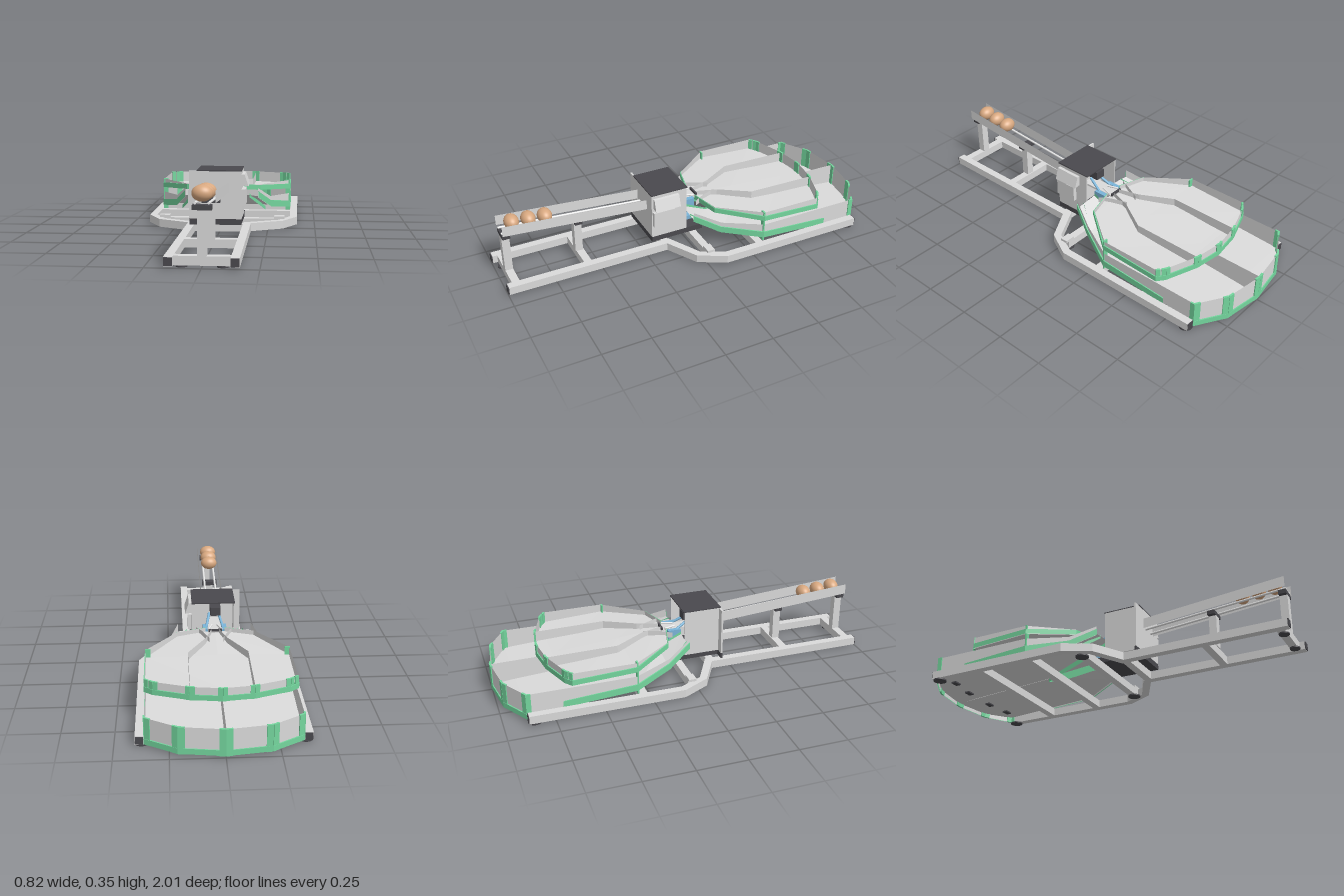
import * as THREE from 'three';

const mat = (name, color, side = THREE.FrontSide) => {
  const m = new THREE.MeshStandardMaterial({ color, side });
  m.name = name;
  return m;
};

export function createModel() {
  const root = new THREE.Group();
  root.name = 'eggSorter';
  const grey = mat('steelGrey', 0xdadada, THREE.DoubleSide);
  const green = mat('trimGreen', 0x74d69e, THREE.DoubleSide);
  const dark = mat('darkPlastic', 0x4a494e);
  const egg = mat('eggshell', 0xd8a880);
  const blue = mat('actuatorBlue', 0x7ab4d8);
  const white = mat('railWhite', 0xe8e8e8);

  const add = (name, geo, m) => {
    const mesh = new THREE.Mesh(geo, m);
    mesh.name = name;
    root.add(mesh);
    return mesh;
  };
  // Box given by its extents on each axis
  const box = (name, m, x0, x1, y0, y1, z0, z1) => {
    const mesh = add(name, new THREE.BoxGeometry(x1 - x0, y1 - y0, z1 - z0), m);
    mesh.position.set((x0 + x1) / 2, (y0 + y1) / 2, (z0 + z1) / 2);
    return mesh;
  };
  // Flat-shaded sheet between two lines of points
  const sheet = (name, m, a, b) => {
    const pos = [];
    for (let i = 0; i < a.length - 1; i++) {
      pos.push(...a[i], ...b[i], ...a[i + 1], ...a[i + 1], ...b[i], ...b[i + 1]);
    }
    const g = new THREE.BufferGeometry();
    g.setAttribute('position', new THREE.Float32BufferAttribute(pos, 3));
    g.computeVertexNormals();
    return add(name, g, m);
  };
  // Upright wall through points [x, z, bottom, top]
  const wall = (name, m, pts, s = 1) => sheet(name, m,
    pts.map(([x, z, b]) => [x * s, b, z]), pts.map(([x, z, , t]) => [x * s, t, z]));
  // Green band outside the foot of a wall, capped by a narrow lip
  const trim = (name, pts, s, height) => {
    const shift = ([x, z, b]) => [x * 1.016, z + (z < -0.6 ? -0.005 : 0.004), b, b + height];
    const outer = pts.map(shift);
    wall(name, green, outer, s);
    sheet(name + 'Lip', green, outer.map(([x, z, , t]) => [x * s, t, z]), pts.map(([x, z, b]) => [x * s, b + height, z]));
  };
  // Pair of flat posts near both ends of each wall segment
  const posts = (name, pts, s, y0, y1, width) => {
    for (let i = 0; i < pts.length - 1; i++) {
      const [x0, z0] = pts[i], [x1, z1] = pts[i + 1];
      const edge = width / 2 / Math.hypot(x1 - x0, z1 - z0);
      for (const t of [edge, 1 - edge]) {
        const post = box(name, green, -width / 2, width / 2, y0, y1, -0.005, 0.005);
        post.position.x = s * (x0 + (x1 - x0) * t);
        post.position.z = z0 + (z1 - z0) * t;
        post.rotation.y = -s * Math.atan2(z1 - z0, x1 - x0);
      }
    }
  };
  // Sloped tray floor, half at a time, from rows [z, inner x, outer x, inner y, outer y]
  const floor = (name, rows, s) => {
    // the mirrored half swaps its edges so that both halves face up
    const inner = rows.map(([z, i, , y]) => [i * s, y, z]);
    const outer = rows.map(([z, , o, , y]) => [o * s, y, z]);
    return s > 0 ? sheet(name, grey, outer, inner) : sheet(name, grey, inner, outer);
  };
  const rod = (name, m, p, q, r) => {
    const a = new THREE.Vector3(...p), b = new THREE.Vector3(...q);
    const mesh = add(name, new THREE.CylinderGeometry(r, r, a.distanceTo(b), 12), m);
    mesh.position.copy(a).add(b).multiplyScalar(0.5);
    mesh.quaternion.setFromUnitVectors(new THREE.Vector3(0, 1, 0), b.sub(a).normalize());
  };

  // Base frame: wide rear rails bending in to the narrow front rails
  for (const s of [-1, 1]) {
    const plan = [[0.405, -0.88], [0.405, -0.09], [0.33, 0.05], [0.165, 0.14], [0.165, 0.995],
      [0.125, 0.995], [0.125, 0.115], [0.305, 0.02], [0.365, -0.1], [0.365, -0.88]];
    const shape = new THREE.Shape(plan.map(([x, z]) => new THREE.Vector2(x * s, -z)));
    const rail = add('sideRail', new THREE.ExtrudeGeometry(shape, { depth: 0.042, bevelEnabled: false }), grey);
    rail.rotation.x = -Math.PI / 2;
    rail.position.y = 0.007;
    for (const [x, z, r] of [[0.375, -0.85, 0.034], [0.3, -0.025, 0.034], [0.09, 0.955, 0.026]]) {
      const foot = add('foot', new THREE.CylinderGeometry(r, r, 0.007, 20), dark);
      foot.position.set(x * s, 0.0035, z);
    }
    box('railEndCap', dark, s * 0.145 - 0.019, s * 0.145 + 0.019, 0.01, 0.047, 0.995, 1);
    box('railEndCap', dark, s * 0.385 - 0.018, s * 0.385 + 0.018, 0.01, 0.047, -0.884, -0.88);
    box('traySpacer', grey, s * 0.31 - 0.028, s * 0.31 + 0.028, 0.049, 0.062, -0.05, -0.01);
  }
  for (const z of [-0.6, -0.3, -0.03]) {
    const half = z < -0.1 ? 0.366 : 0.32;
    box('rearCrossbar', grey, -half, half, 0.007, 0.049, z - 0.02, z + 0.02);
  }
  for (const z of [0.14, 0.57, 0.95]) box('frontCrossbar', grey, -0.126, 0.126, 0.007, 0.049, z - 0.02, z + 0.02);

  // Sloping infeed track on two posts
  for (const [z, top] of [[0.95, 0.248], [0.575, 0.222]]) {
    box('trackPost', grey, -0.02, 0.02, 0.049, top, z - 0.02, z + 0.02);
    box('trackClamp', dark, -0.043, 0.043, top, top + 0.022, z - 0.02, z + 0.02);
  }
  for (const s of [-1, 1]) {
    wall('trackSide', grey, [[0.058, 0.97, 0.278, 0.333], [0.058, 0.15, 0.215, 0.27]], s);
    rod('trackRod', white, [0.03 * s, 0.279, 0.97], [0.03 * s, 0.215, 0.1], 0.006);
  }
  [0.905, 0.82, 0.735].forEach((z) => {
    const e = add('egg', new THREE.SphereGeometry(1, 32, 20), egg);
    e.scale.set(0.047, 0.037, 0.037);
    e.position.set(-0.005, 0.313 - (0.905 - z) * 0.078, z);
  });

  // Control housing, open towards the trays
  box('housingFront', grey, -0.15, 0.12, 0.08, 0.328, 0.195, 0.205);
  box('housingFrontSkirt', dark, -0.15, 0.12, 0.05, 0.08, 0.195, 0.205);
  box('housingSide', grey, -0.11, -0.104, 0.08, 0.328, 0.005, 0.195);
  box('housingSide', grey, 0.114, 0.12, 0.08, 0.328, 0.005, 0.195);
  box('housingLid', dark, -0.11, 0.12, 0.327, 0.333, 0, 0.206);
  box('housingBase', dark, -0.1, 0.119, 0.05, 0.08, -0.09, 0.195);
  box('innerPanel', grey, -0.104, 0.114, 0.08, 0.328, 0.1, 0.106);
  // Sloped hood and service box on the side
  const hood = new THREE.Shape([[0.12, 0.255], [0.155, 0.25], [0.135, 0.31], [0.12, 0.312]].map((p) => new THREE.Vector2(...p)));
  add('sideHood', new THREE.ExtrudeGeometry(hood, { depth: 0.14, bevelEnabled: false }), grey).position.z = 0.055;
  box('serviceBox', grey, 0.12, 0.14, 0.15, 0.235, 0.08, 0.2);

  // Sorting mechanism between housing and trays
  box('sorterMotor', dark, -0.035, 0.02, 0.25, 0.295, 0.02, 0.1);
  box('sorterBridge', grey, -0.035, 0.035, 0.2, 0.21, -0.1, 0.1);
  box('sorterGate', dark, -0.035, 0.035, 0.21, 0.222, -0.1, -0.09);
  for (const s of [-1, 1]) {
    box('actuatorFoot', blue, s * 0.045 - 0.02, s * 0.045 + 0.02, 0.09, 0.112, -0.07, -0.01);
    box('actuator', blue, s * 0.05 - 0.012, s * 0.05 + 0.012, 0.16, 0.212, -0.07, 0);
    rod('actuatorArm', blue, [0.05 * s, 0.19, -0.05], [0.025 * s, 0.25, 0.06], 0.007);
    rod('actuatorLink', white, [0.035 * s, 0.216, -0.08], [0.015 * s, 0.216, -0.02], 0.005);
  }

  // Trays, one mirrored half at a time
  for (const s of [-1, 1]) {
    // Upper tray
    floor('upperTrayFloor', [[-0.76, 0, 0, 0.16, 0.16], [-0.74, 0, 0.15, 0.16, 0.16], [-0.68, 0, 0.32, 0.16, 0.16],
      [-0.65, 0, 0.36, 0.162, 0.162], [-0.33, 0, 0.36, 0.185, 0.178], [-0.12, 0, 0.2, 0.202, 0.196],
      [-0.08, 0, 0.05, 0.206, 0.203]], s);
    const upper = [[0, -0.76, 0.155, 0.22], [0.15, -0.74, 0.155, 0.22], [0.32, -0.68, 0.155, 0.22],
      [0.36, -0.65, 0.157, 0.22], [0.36, -0.33, 0.172, 0.22], [0.2, -0.12, 0.19, 0.22], [0.05, -0.08, 0.198, 0.225]];
    wall('upperTrayWall', grey, upper, s);
    trim('upperTrayTrim', upper, s, 0.027);
    posts('upperCornerPost', upper.slice(0, 4), s, 0.154, 0.222, 0.022);
    wall('laneDivider', grey, [[0.15, -0.74, 0.16, 0.215], [0.15, -0.37, 0.175, 0.22],
      [0.055, -0.21, 0.19, 0.225], [0.02, -0.1, 0.2, 0.225]], s);
    wall('outletGuide', grey, [[0.1, -0.06, 0.19, 0.22], [0.07, -0.12, 0.19, 0.225], [0.035, -0.2, 0.19, 0.22]], s);

    // Lower tray, notched in the middle towards the front
    floor('lowerTrayFloor', [[-1, 0, 0, 0.03, 0.03], [-0.97, 0, 0.21, 0.032, 0.032], [-0.88, 0, 0.36, 0.04, 0.04],
      [-0.4, 0, 0.36, 0.07, 0.068], [-0.33, 0.03, 0.36, 0.08, 0.076], [-0.13, 0.07, 0.258, 0.13, 0.108],
      [0, 0.065, 0.195, 0.185, 0.172]], s);
    const back = [[0, -1, 0.012, 0.145], [0.21, -0.97, 0.012, 0.145], [0.36, -0.88, 0.012, 0.145]];
    const side = [[0.36, -0.88, 0.035, 0.145], [0.36, -0.33, 0.068, 0.145], [0.258, -0.13, 0.098, 0.155], [0.195, 0, 0.165, 0.215]];
    wall('lowerBackWall', grey, back, s);
    wall('lowerSideWall', grey, side, s);
    trim('lowerBackTrim', back, s, 0.028);
    trim('lowerSideTrim', [[0.36, -0.7, 0.044, 0.06], ...side.slice(1)], s, 0.034);
    wall('notchTrim', green, [[0, -0.4, 0.05, 0.09], [0.03, -0.33, 0.055, 0.1], [0.07, -0.13, 0.1, 0.14], [0.065, 0, 0.165, 0.2]], s);
    wall('chuteTrim', green, [[0.23, -0.13, 0.08, 0.1], [0.15, 0, 0.165, 0.185]], s);
    posts('lowerCornerPost', back, s, 0.01, 0.147, 0.03);
    box('lowerSidePost', green, s * 0.361 - 0.004, s * 0.361 + 0.004, 0.012, 0.147, -0.885, -0.86);
    // Upright joining both trays at the front corner
    box('frontCornerPost', green, s * 0.35 - 0.013, s * 0.35 + 0.013, 0.05, 0.222, -0.33, -0.322);
    // Pads below the lower tray
    for (const [x, z] of [[0.1, -0.86], [0.25, -0.84]]) {
      box('trayPad', dark, s * x - 0.022, s * x + 0.022, 0.028, 0.036, z - 0.015, z + 0.015);
    }
  }
  wall('lowerLaneDivider', grey, [[0, -1, 0.03, 0.145], [0, -0.4, 0.068, 0.15]]);
  return root;
}
